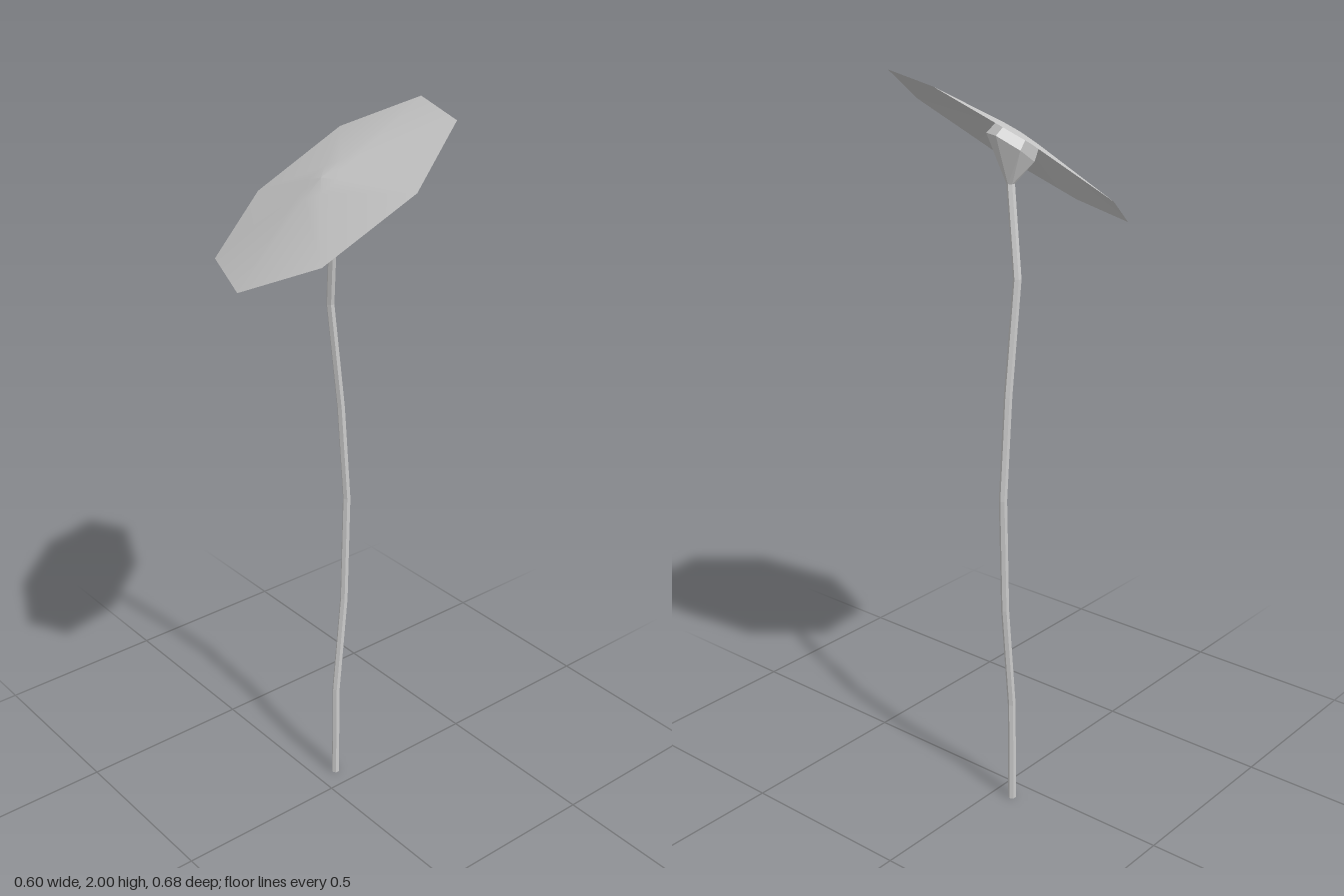
import * as THREE from 'three';

const V = (x, y, z) => new THREE.Vector3(x, y, z);
const material = new THREE.MeshStandardMaterial({ color: 0xcccccc, side: THREE.DoubleSide });
const SIDES = 6;

// Axes of the tilted flower head: two in its plane, one along its normal
const headX = V(0.3, 0.18, -0.02).normalize();
const headY = V(-0.03, 0.085, 0.338).cross(headX).normalize();
const headZ = headX.clone().cross(headY);
const headCentre = V(0, 1.815, 0);

// Skin through rings of equal side count; ring = { c: centre, r: radius, a, b: plane axes }
function loft(rings, capStart) {
  const pos = [], idx = [];
  for (const { c, r, a, b } of rings) {
    for (let i = 0; i < SIDES; i++) {
      const t = (i / SIDES) * Math.PI * 2;
      pos.push(...c.clone().addScaledVector(a, r * Math.cos(t)).addScaledVector(b, r * Math.sin(t)).toArray());
    }
  }
  for (let k = 0; k < rings.length - 1; k++) {
    for (let i = 0; i < SIDES; i++) {
      const j = (i + 1) % SIDES, p = k * SIDES, q = p + SIDES;
      idx.push(p + i, q + i, p + j, p + j, q + i, q + j);
    }
  }
  if (capStart) for (let i = 1; i < SIDES - 1; i++) idx.push(0, i, i + 1);
  const g = new THREE.BufferGeometry();
  g.setAttribute('position', new THREE.Float32BufferAttribute(pos, 3));
  g.setIndex(idx);
  const flat = g.toNonIndexed();
  flat.computeVertexNormals();
  return flat;
}

export function createModel() {
  const group = new THREE.Group();
  const add = (name, geometry) => {
    const mesh = new THREE.Mesh(geometry, material);
    mesh.name = name;
    group.add(mesh);
    return mesh;
  };

  // Gently bowed stem
  const path = [
    V(0.062, 0, -0.058), V(0.064, 0.3, -0.058), V(0.092, 0.6, -0.058), V(0.1, 0.92, -0.058),
    V(0.079, 1.2, -0.058), V(0.043, 1.5, -0.058), V(0.018, 1.73, -0.016),
  ];
  const ex = V(1, 0, 0), ez = V(0, 0, 1);
  const stemRings = path.map((c) => ({ c, r: 0.011, a: ex, b: ez }));
  add('stem', loft(stemRings, true));

  // Flared cup under the bloom, with a short collar up to the petals
  const headRing = (r, h) => ({ c: headCentre.clone().addScaledVector(headY, h), r, a: headX, b: headZ });
  add('cup', loft([stemRings[path.length - 1], headRing(0.07, 0), headRing(0.062, 0.034)], false));

  // Shallow domed eight-sided bloom
  const profile = [[0.35, 0], [0.07, 0.038], [0, 0.045]].map(([r, h]) => new THREE.Vector2(r, h));
  const bloom = add('bloom', new THREE.LatheGeometry(profile, 8));
  bloom.quaternion.setFromRotationMatrix(new THREE.Matrix4().makeBasis(headX, headY, headZ));
  bloom.position.copy(headCentre);

  return group;
}
